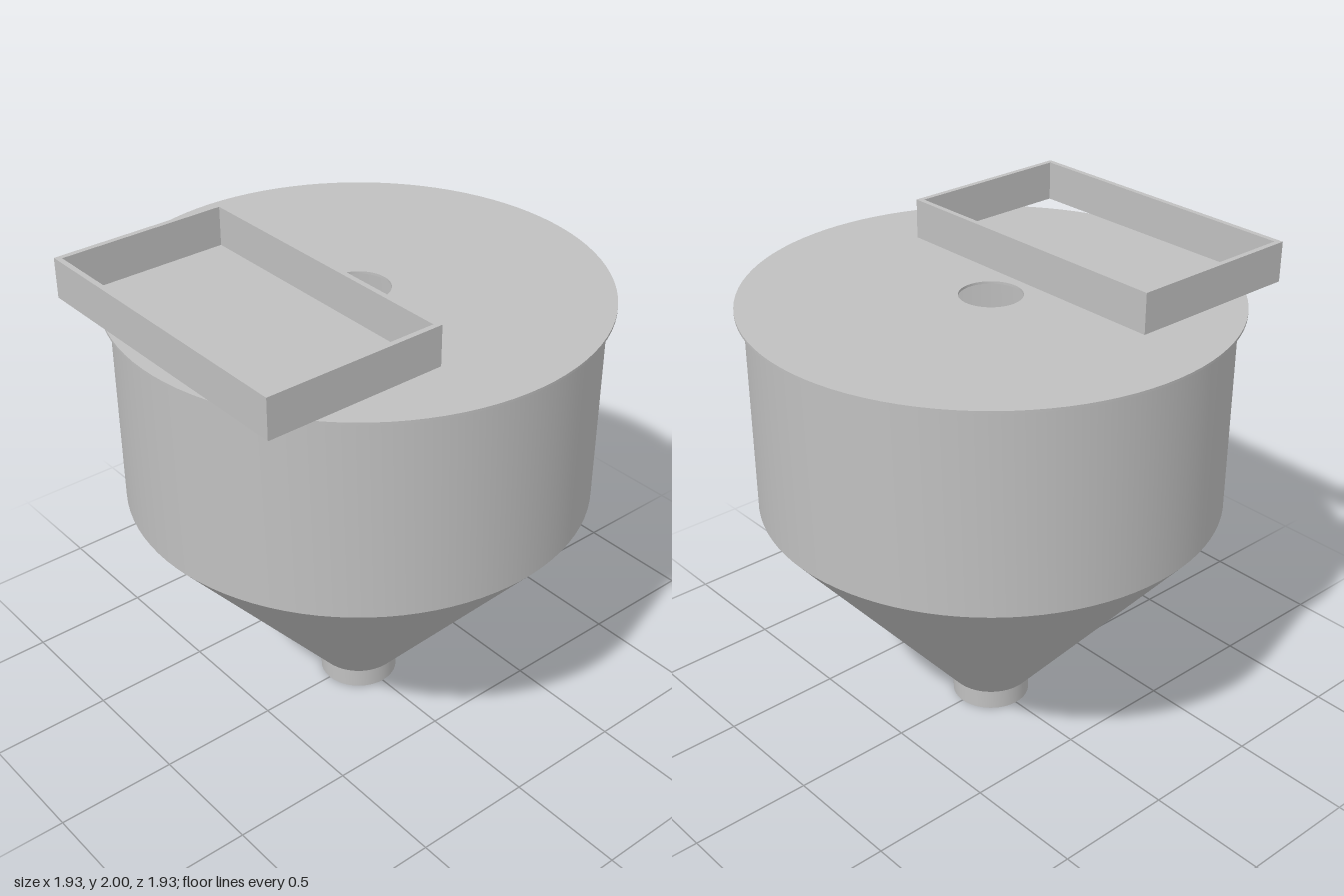
import * as THREE from 'three';
import { toCreasedNormals } from 'three/addons/utils/BufferGeometryUtils.js';

export function createModel() {
  const model = new THREE.Group();
  model.name = 'hopper';
  const steel = new THREE.MeshStandardMaterial({ color: 0xc0c0c0 });
  steel.name = 'grey steel';

  const add = (name, geometry) => {
    const mesh = new THREE.Mesh(geometry, steel);
    mesh.name = name;
    model.add(mesh);
    return mesh;
  };

  // Closed ring section [radius, height], outer side upward, turned around y
  const turned = (name, section) => {
    const points = [...section, section[0]].map(([r, y]) => new THREE.Vector2(r, y));
    return add(name, toCreasedNormals(new THREE.LatheGeometry(points, 96), 0.5));
  };

  // Thin-walled vessel, from outlet to rim
  turned('spout', [[0.162, 0], [0.162, 0.095], [0.152, 0.095], [0.152, 0]]);
  turned('cone', [[0.175, 0.095], [0.932, 1], [0.92, 1], [0.155, 0.095]]);
  turned('barrel', [[0.932, 1], [0.932, 1.828], [0.92, 1.828], [0.92, 1]]);

  // Flat lid with a central hole
  turned('lid', [[0.965, 1.828], [0.965, 1.838], [0.125, 1.838], [0.125, 1.828]]);

  // Open rectangular inlet collar, overhanging the lid edge
  const width = 0.746, depth = 1.284, wall = 0.022;
  const rectangle = (Type, w, d) => new Type([
    [-w / 2, -d / 2], [w / 2, -d / 2], [w / 2, d / 2], [-w / 2, d / 2],
  ].map(([x, y]) => new THREE.Vector2(x, y)));
  const outline = rectangle(THREE.Shape, width, depth);
  outline.holes.push(rectangle(THREE.Path, width - 2 * wall, depth - 2 * wall));
  const collar = add('inletCollar',
    new THREE.ExtrudeGeometry(outline, { depth: 0.162, bevelEnabled: false }).rotateX(-Math.PI / 2));
  collar.position.set(-0.539, 1.838, 0);

  return model;
}
